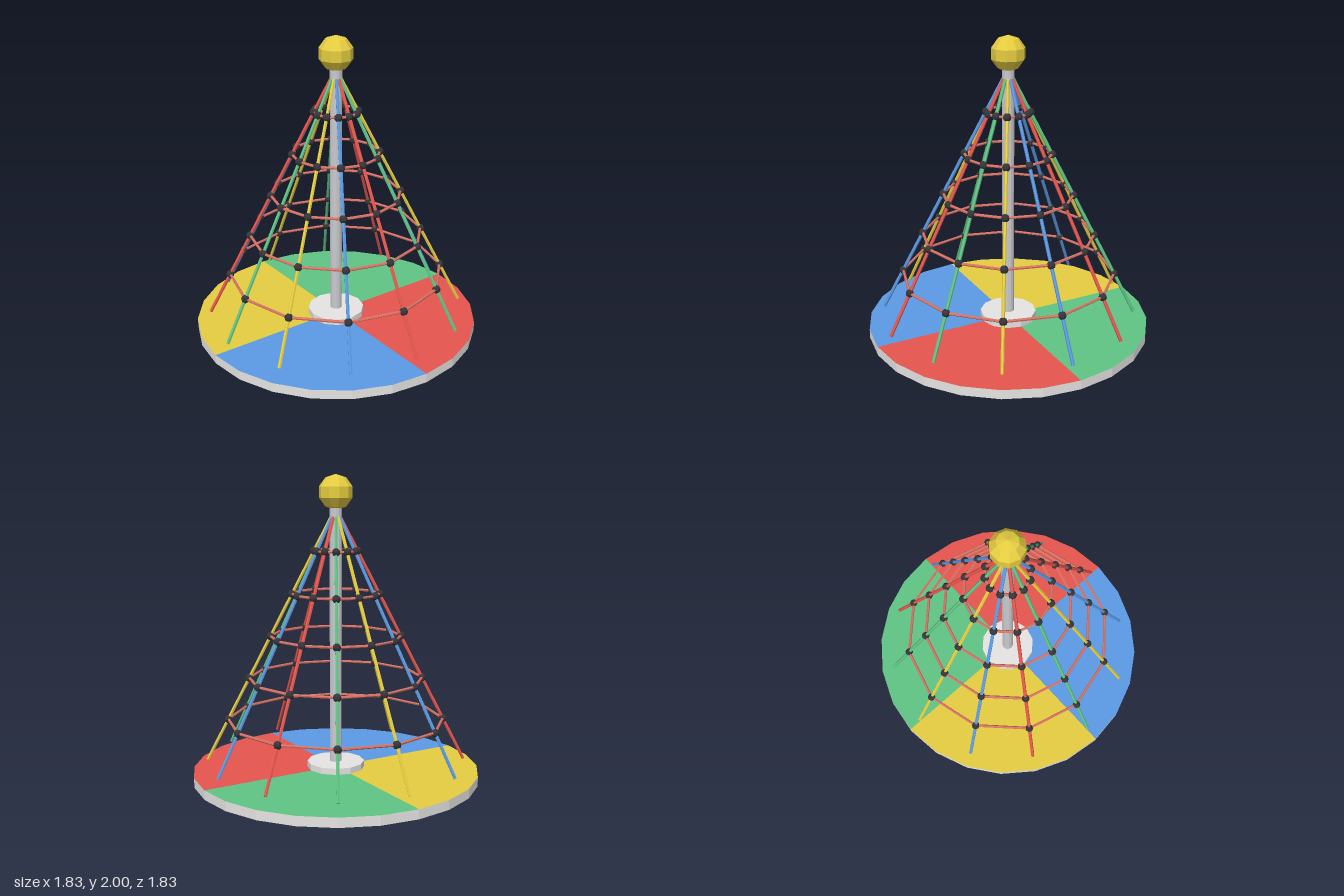
import * as THREE from 'three';

const mat = (name, color, side = THREE.FrontSide) => {
  const m = new THREE.MeshStandardMaterial({ color, flatShading: true, side });
  m.name = name;
  return m;
};

export function createModel() {
  const red = mat('red', 0xe6564e, THREE.DoubleSide);
  const blue = mat('blue', 0x5b9ae6, THREE.DoubleSide);
  const yellow = mat('yellow', 0xe6cd40, THREE.DoubleSide);
  const green = mat('green', 0x60c484, THREE.DoubleSide);
  const ringRed = mat('faded red', 0xd87264);
  const pale = mat('pale metal', 0xe6e5e3, THREE.DoubleSide);
  const metal = mat('grey metal', 0xcacbcf);
  const dark = mat('dark knots', 0x35353a);
  const root = new THREE.Group();
  root.name = 'climbingNetCarousel';

  const add = (parent, name, geometry, material, x = 0, y = 0, z = 0) => {
    const mesh = new THREE.Mesh(geometry, material);
    mesh.name = name;
    mesh.position.set(x, y, z);
    parent.add(mesh);
    return mesh;
  };
  const group = (name) => {
    const g = new THREE.Group();
    g.name = name;
    root.add(g);
    return g;
  };
  const up = new THREE.Vector3(0, 1, 0);
  // straight rope between two points
  const rope = (parent, name, a, b, radius, material) => {
    const d = b.clone().sub(a);
    const mesh = add(parent, name, new THREE.CylinderGeometry(radius, radius, d.length(), 6), material);
    mesh.position.copy(a).add(b).multiplyScalar(0.5);
    mesh.quaternion.setFromUnitVectors(up, d.normalize());
  };

  // round platform: four coloured quarters on top of a thin rim, hollow below
  const R = 0.914, low = 0.076, high = 0.136;
  const platform = group('platform');
  add(platform, 'rim', new THREE.CylinderGeometry(R, R, high - low, 24, 1, true), pale, 0, (low + high) / 2);
  [red, green, yellow, blue].forEach((color, q) => {
    const quarter = new THREE.CircleGeometry(R, 6, q * Math.PI / 2, Math.PI / 2);
    add(platform, 'floorQuarter', quarter.rotateX(-Math.PI / 2), color, 0, high);
  });

  // foot, collar, mast and ball
  add(root, 'foot', new THREE.CylinderGeometry(0.183, 0.183, 0.06, 12), metal, 0, 0.03);
  add(root, 'collar', new THREE.CylinderGeometry(0.183, 0.183, 0.042, 12), pale, 0, 0.155);
  add(root, 'mast', new THREE.CylinderGeometry(0.038, 0.038, 1.68, 12), metal, 0, 0.98);
  add(root, 'ball', new THREE.SphereGeometry(0.11, 10, 5).rotateY(Math.PI / 2), yellow, 0, 1.89);

  // cone net: point on the cone at rope i and height y
  const count = 12, yTop = 1.736, yBottom = 0.186;
  const at = (i, y) => {
    const r = 0.03 + (yTop - y) / (yTop - yBottom) * 0.795;
    const a = i / count * Math.PI * 2;
    return new THREE.Vector3(r * Math.cos(a), y, r * Math.sin(a));
  };
  const ropes = group('mainRopes');
  const rings = group('ringRopes');
  const knots = group('knots');
  const knot = new THREE.SphereGeometry(0.026, 8, 6);
  const ropeColors = [red, blue, yellow, green];
  for (let i = 0; i < count; i++) {
    rope(ropes, 'mainRope', at(i, yBottom), at(i, yTop), 0.011, ropeColors[i % 4]);
    for (let k = 0; k < 5; k++) {
      const y = 0.453 + k * 0.269;
      const p = at(i, y);
      rope(rings, 'ringRope', p, at(i + 1, y), 0.009, ringRed);
      add(knots, 'knot', knot, dark, p.x, p.y, p.z);
    }
  }
  return root;
}
